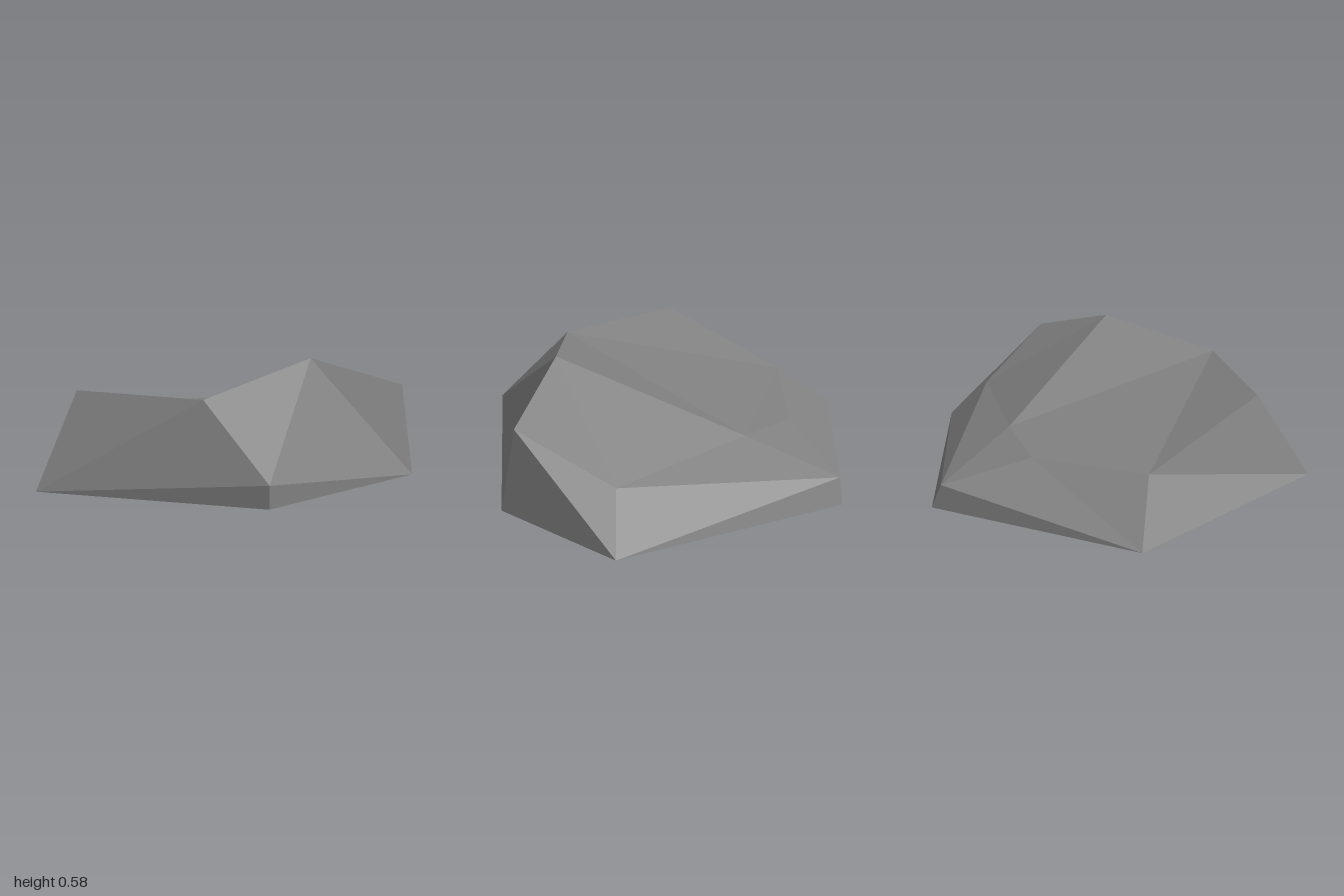
import * as THREE from 'three';

// Corners of the boulder, each [x, y, z]
const corners = {
  // ground outline
  A: [-1, 0, -0.03], B: [-0.45, 0, -0.94], C: [0.68, 0, -0.85],
  D: [1, 0, -0.26], E: [0.68, 0, 0.66], F: [-0.38, 0, 0.93],
  // low shoulders
  b: [-0.46, 0.12, -0.89], e: [0.68, 0.105, 0.66],
  // upper ridge and sloping back
  G: [0.92, 0.435, -0.3], H: [0.58, 0.58, 0.04], I: [0.31, 0.435, 0.59],
  J: [-0.35, 0.435, 0.65], K: [-0.71, 0.23, 0.05], L: [-0.14, 0.255, -0.55],
  M: [-0.45, 0.225, -0.46], N: [0.58, 0.22, -0.64],
};

// Facets, three corners each
const sides = 'AKF KJF JIF IeF eEF eED HeD GHD IHe CGD CNG CbN BbC AbB';
const top = 'KIJ KLI LHI LNH NGH KML AMK AbM bLM bNL';

function facetGeometry(facets) {
  const points = [];
  for (const facet of facets.split(' ')) {
    const [p, q, r] = [...facet].map((k) => new THREE.Vector3(...corners[k]));
    // wind every facet so that it faces away from the middle of the base
    const normal = q.clone().sub(p).cross(r.clone().sub(p));
    const middle = p.clone().add(q).add(r);
    points.push(...(normal.dot(middle) < 0 ? [p, r, q] : [p, q, r]));
  }
  const geometry = new THREE.BufferGeometry().setFromPoints(points);
  geometry.computeVertexNormals();
  return geometry;
}

export function createModel() {
  const stone = new THREE.MeshStandardMaterial({
    color: 0x808080, flatShading: true, side: THREE.DoubleSide,
  });
  stone.name = 'grey stone';

  // Open-bottomed rock shell
  const rock = new THREE.Group();
  rock.name = 'rock';
  for (const [name, facets] of [['rockSides', sides], ['rockTop', top]]) {
    const mesh = new THREE.Mesh(facetGeometry(facets), stone);
    mesh.name = name;
    rock.add(mesh);
  }
  return rock;
}
